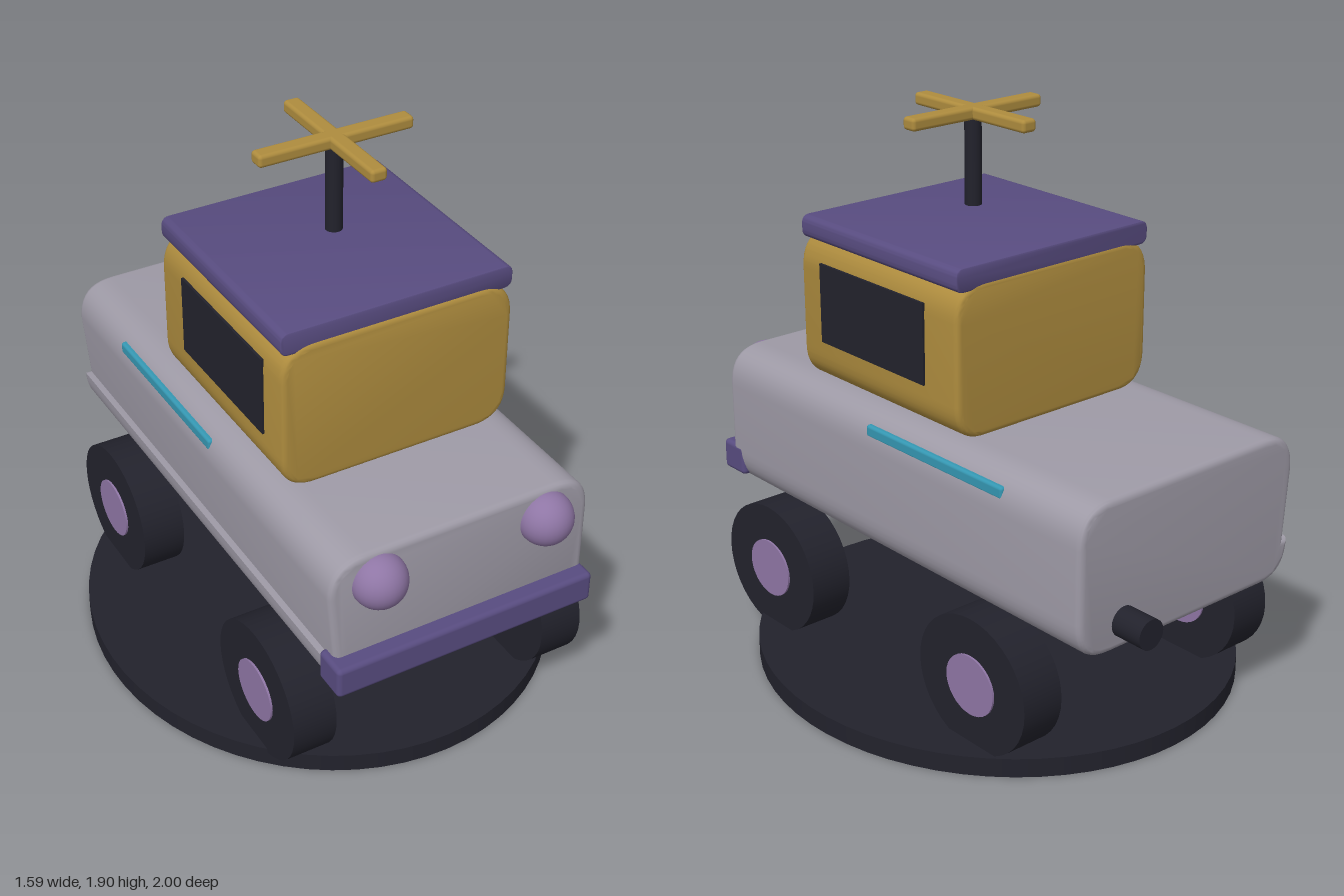
import * as THREE from 'three';
import { toCreasedNormals } from 'three/addons/utils/BufferGeometryUtils.js';
import { RoundedBoxGeometry } from 'three/addons/geometries/RoundedBoxGeometry.js';

const paint = (name, color) => {
  const m = new THREE.MeshStandardMaterial({ color });
  m.name = name;
  return m;
};

// Rounded outline in x/y; notch pulls in the lower -x side above the bottom corner
function roundedOutline(hw, y0, y1, r, notch = 0) {
  const s = new THREE.Shape();
  s.moveTo(-hw + notch, y0 + r);
  s.lineTo(-hw, y1 - r);
  s.quadraticCurveTo(-hw, y1, -hw + r, y1);
  s.lineTo(hw - r, y1);
  s.quadraticCurveTo(hw, y1, hw, y1 - r);
  s.lineTo(hw, y0 + r);
  s.quadraticCurveTo(hw, y0, hw - r, y0);
  s.lineTo(-hw + r, y0);
  s.quadraticCurveTo(-hw, y0, -hw, y0 + r);
  if (notch) s.lineTo(-hw + notch, y0 + r);
  return s;
}

// Extrude an outline between two z positions, with softened ends
function loft(shape, z0, z1, bevel) {
  const g = new THREE.ExtrudeGeometry(shape, {
    depth: z1 - z0 - 2 * bevel,
    bevelEnabled: bevel > 0,
    bevelSize: bevel,
    bevelOffset: -bevel,
    bevelThickness: bevel,
    bevelSegments: 4,
    curveSegments: 10,
  });
  g.translate(0, 0, z0 + bevel);
  return toCreasedNormals(g, 0.6);
}

export function createModel() {
  const grey = paint('body grey', 0x9e9aa6);
  const ochre = paint('ochre', 0xae8c3e);
  const purple = paint('deep purple', 0x584c80);
  const dark = paint('dark rubber', 0x22222c);
  const mauve = paint('mauve', 0x8f76a5);
  const teal = paint('teal trim', 0x3597b2);

  const model = new THREE.Group();
  model.name = 'toyVehicle';
  const add = (name, geometry, material, x = 0, y = 0, z = 0, parent = model) => {
    const mesh = new THREE.Mesh(geometry, material);
    mesh.name = name;
    mesh.position.set(x, y, z);
    parent.add(mesh);
    return mesh;
  };

  // Oval stand
  const stand = new THREE.CylinderGeometry(1, 1, 0.065, 64);
  stand.scale(0.795, 1, 0.865);
  add('stand', stand, dark, 0, 0.0325, 0.015);

  // Hull, cabin and roof
  add('body', loft(roundedOutline(0.462, 0.47, 0.972, 0.13, 0.022), -0.885, 0.905, 0.022), grey);
  add('cabin', loft(roundedOutline(0.406, 0.965, 1.475, 0.12), -0.275, 0.522, 0.02), ochre);
  add('roof', loft(roundedOutline(0.403, 1.453, 1.53, 0.03), -0.272, 0.514, 0.004), purple);

  // Bumper and exhaust
  add('bumper', new RoundedBoxGeometry(0.926, 0.108, 0.12, 3, 0.016), purple, 0, 0.56, 0.902);
  const pipe = new THREE.CylinderGeometry(0.05, 0.05, 0.2, 24);
  pipe.rotateX(Math.PI / 2);
  add('exhaust', pipe, dark, 0.278, 0.56, -0.9);

  // Mirrored details
  for (const side of [1, -1]) {
    const tag = side > 0 ? 'left' : 'right';
    add(tag + 'Headlight', new THREE.SphereGeometry(0.09, 32, 20), mauve, side * 0.297, 0.868, 0.908);
    add(tag + 'Window', new THREE.BoxGeometry(0.009, 0.27, 0.53), dark, side * 0.4085, 1.255, 0.145);
    add(tag + 'TrimStrip', new RoundedBoxGeometry(0.03, 0.042, 0.66, 3, 0.01), teal, side * 0.442, 0.905, -0.205);

    // Wheels are slightly wider than tall
    for (const [end, z] of [['Front', 0.58], ['Rear', -0.49]]) {
      const wheel = new THREE.Group();
      wheel.name = tag + end + 'Wheel';
      wheel.position.set(side * 0.465, 0.27, z);
      wheel.scale.set(1, 0.92, 1);
      model.add(wheel);
      const tyre = new THREE.CylinderGeometry(0.248, 0.248, 0.152, 40);
      tyre.rotateZ(Math.PI / 2);
      add('tyre', tyre, dark, 0, 0, 0, wheel);
      const hub = new THREE.CylinderGeometry(0.11, 0.11, 0.166, 32);
      hub.rotateZ(Math.PI / 2);
      add('hub', hub, mauve, 0, 0, 0, wheel);
    }
  }

  // Mast and crossed rotor blades
  add('mast', new THREE.CylinderGeometry(0.028, 0.028, 0.29, 20), dark, 0, 1.72, 0.122);
  add('crossBlade', new RoundedBoxGeometry(0.536, 0.042, 0.056, 3, 0.012), ochre, 0, 1.88, 0.118);
  add('longBlade', new RoundedBoxGeometry(0.056, 0.042, 0.536, 3, 0.012), ochre, 0, 1.88, 0.118);

  return model;
}
